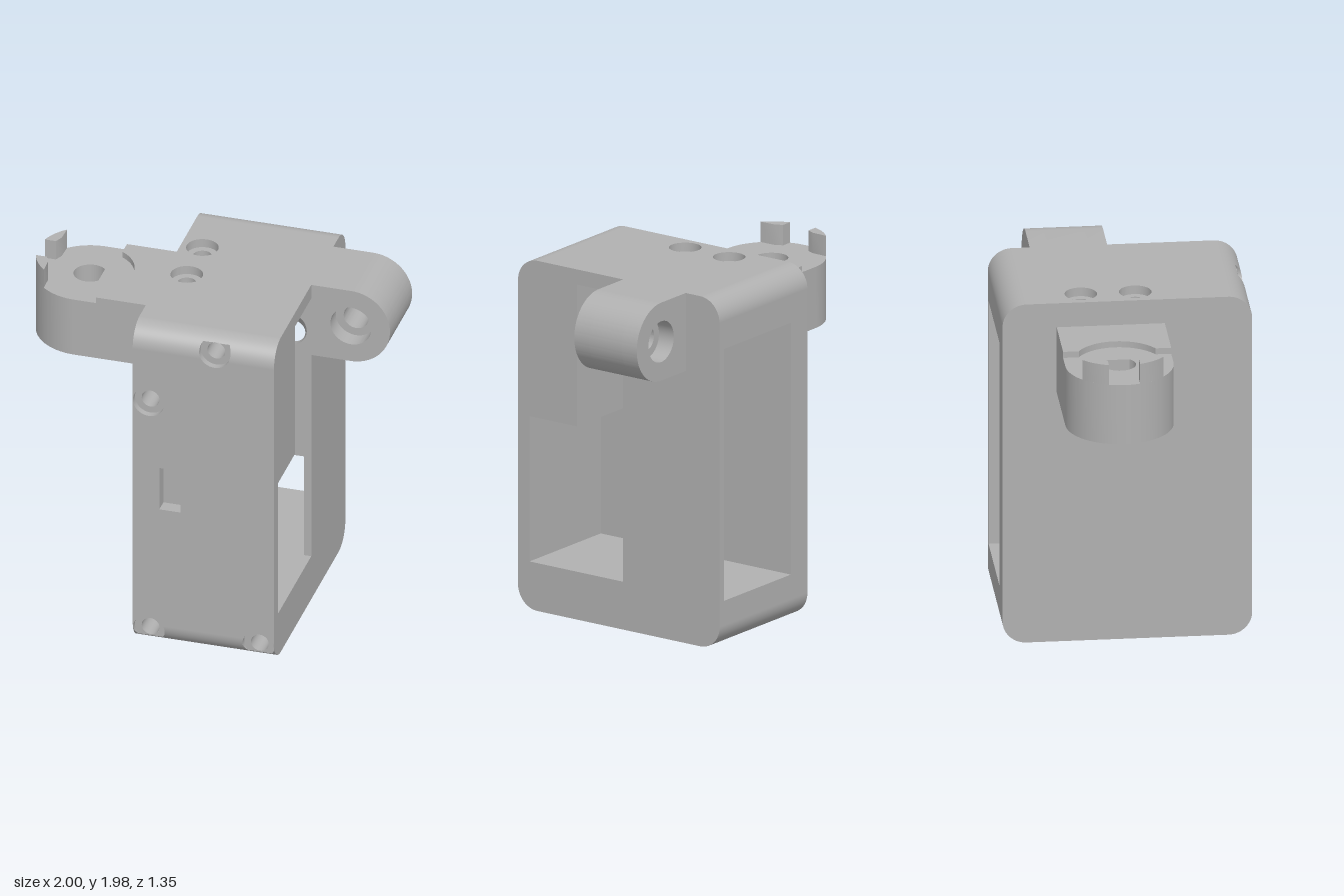
import * as THREE from 'three';
import { toCreasedNormals } from 'three/addons/utils/BufferGeometryUtils.js';

const X0 = -0.24, X1 = 0.555, H = 1.975, Z = 0.677, R = 0.13; // housing extents
const IN0 = -0.09, IN1 = 0.513, FLOOR = 0.27, CEIL = 1.69;    // inner cavity
const SEAT = 0.64;                                            // screw seat depth

export function createModel() {
  const model = new THREE.Group();
  const grey = new THREE.MeshStandardMaterial({ color: 0xb0b0b0, side: THREE.DoubleSide });
  grey.name = 'grey plastic';
  const housing = new THREE.Group(), arm = new THREE.Group(), lug = new THREE.Group();
  housing.name = 'housing'; arm.name = 'sideArm'; lug.name = 'hingeLug';
  model.add(housing, arm, lug);

  const add = (parent, name, geo) => {
    const mesh = new THREE.Mesh(geo, grey);
    mesh.name = name;
    parent.add(mesh);
    return mesh;
  };
  const geometryOf = (pos) => new THREE.BufferGeometry()
    .setAttribute('position', new THREE.Float32BufferAttribute(pos, 3));
  // surface between two matching point lists
  const ribbon = (a, b) => {
    const pos = [];
    for (let i = 0; i < a.length - 1; i++) {
      pos.push(...a[i], ...a[i + 1], ...b[i + 1], ...a[i], ...b[i + 1], ...b[i]);
    }
    const g = geometryOf(pos);
    g.computeVertexNormals();
    return toCreasedNormals(g, 0.5);
  };
  // [z, y] path swept along x
  const sweepX = (path, xa, xb) =>
    ribbon(path.map(([z, y]) => [xa, y, z]), path.map(([z, y]) => [xb, y, z]));
  const polygon = (pts) => new THREE.Shape(pts.map(([x, y]) => new THREE.Vector2(x, y)));
  const circle = (x, y, r) => new THREE.Path().absarc(x, y, r, 0, Math.PI * 2);
  // flat face in the z-y plane
  const sideFace = (shape, x) => new THREE.ShapeGeometry(shape, 24).rotateY(-Math.PI / 2).translate(x, 0, 0);
  const extrude = (shape, depth) => toCreasedNormals(
    new THREE.ExtrudeGeometry(shape, { depth, bevelEnabled: false, curveSegments: 40 }), 0.5);

  // ---- rounded outline of the housing, with normals: front, top, back, bottom
  const frontScrews = [[-0.15, 1.525], [-0.15, 0.095], [0.465, 0.095], [0.22, 1.89]];
  const topScrews = [[-0.12, -0.24], [-0.12, 0.055]];
  const RS = 0.088;
  const outline = [];
  const corner = (cy, cz, start) => {
    for (let i = 0; i <= 24; i++) {
      const t = start + (i / 24) * Math.PI / 2, ny = Math.sin(t), nz = Math.cos(t);
      outline.push({ y: cy + R * ny, z: cz + R * nz, ny, nz });
    }
  };
  const rounds = (list) => list.flatMap((c) =>
    Array.from({ length: 21 }, (_, k) => c[1] + RS * Math.cos(k * Math.PI / 20)));
  const within = (list, a, b) => list.filter((v) => v > a && v < b).sort((p, q) => p - q);
  corner(R, Z - R, -Math.PI / 2);
  within([...rounds(frontScrews), 0.86, 1.12], R, H - R).forEach((y) => outline.push({ y, z: Z, ny: 0, nz: 1 }));
  corner(H - R, Z - R, 0);
  within(rounds(topScrews), R - Z, Z - R).reverse().forEach((z) => outline.push({ y: H, z, ny: 1, nz: 0 }));
  corner(H - R, R - Z, Math.PI / 2);
  [CEIL, FLOOR].forEach((y) => outline.push({ y, z: -Z, ny: 0, nz: -1 }));
  corner(R, R - Z, Math.PI);
  outline.push(outline[0]);

  // ---- outer skin, row by row, leaving out the screw holes, slot and rear opening
  const pos = [], nor = [];
  for (let i = 0; i < outline.length - 1; i++) {
    const a = outline[i], b = outline[i + 1], my = (a.y + b.y) / 2, mz = (a.z + b.z) / 2;
    const gaps = [];
    const round = (cx, ua, ub) => {
      const wa = Math.sqrt(Math.max(0, RS * RS - ua * ua)), wb = Math.sqrt(Math.max(0, RS * RS - ub * ub));
      if (wa + wb > 1e-6) gaps.push([cx - wa, cx + wa, cx - wb, cx + wb]);
    };
    if (mz > SEAT) {
      frontScrews.forEach(([cx, cy]) => round(cx, a.y - cy, b.y - cy));
      if (my > 0.86 && my < 1.12) gaps.push([IN0, 0.03, IN0, 0.03]);
    }
    if (my > H - 0.001) topScrews.forEach(([cx, cz]) => round(cx, a.z - cz, b.z - cz));
    if (mz < -Z + 0.001 && my > FLOOR && my < CEIL) gaps.push([IN0, IN1, IN0, IN1]);
    gaps.sort((p, q) => p[0] - q[0]);
    let la = X0, lb = X0;
    for (const [ra, na, rb, nb] of [...gaps, [X1, X1, X1, X1]]) {
      for (const [x, p] of [[la, a], [ra, a], [rb, b], [la, a], [rb, b], [lb, b]]) {
        pos.push(x, p.y, p.z);
        nor.push(0, p.ny, p.nz);
      }
      la = na; lb = nb;
    }
  }
  const skin = geometryOf(pos);
  skin.setAttribute('normal', new THREE.Float32BufferAttribute(nor, 3));
  add(housing, 'outerShell', skin);

  // ---- side faces; the +x one has the stepped window
  const profile = outline.slice(0, -1).map((p) => [p.z, p.y]);
  add(housing, 'closedSide', sideFace(polygon(profile), X0));
  const openSide = polygon(profile);
  openSide.holes.push(polygon([[-0.03, FLOOR], [0.6, FLOOR], [0.6, 1.09], [0.28, 1.09], [0.28, 1.89], [-0.03, 1.89]]));
  add(housing, 'windowSide', sideFace(openSide, X1));

  // ---- cavity
  add(housing, 'cavityBack', sideFace(polygon([[-Z, FLOOR], [0.6, FLOOR], [0.6, 1.09], [0.28, 1.09],
    [0.28, 0.89], [-0.12, 0.89], [-0.12, CEIL], [-Z, CEIL]]), IN0));
  add(housing, 'thinWallInside', sideFace(polygon([[-Z, FLOOR], [-0.03, FLOOR], [-0.03, 0.89],
    [-0.12, 0.89], [-0.12, CEIL], [-Z, CEIL]]), IN1));
  add(housing, 'frontCavityWalls', sweepX([[0.28, 1.09], [0.6, 1.09], [0.6, FLOOR], [-0.03, FLOOR]], IN0, X1));
  add(housing, 'rearFloor', sweepX([[-0.03, FLOOR], [-Z, FLOOR]], IN0, IN1));
  add(housing, 'rearCeiling', sweepX([[-Z, CEIL], [-0.12, CEIL]], IN0, IN1));
  add(housing, 'partitionEdge', sweepX([[-0.12, 0.89], [-0.03, 0.89]], -0.12, X1));
  add(housing, 'windowEdge', sweepX([[-0.03, FLOOR], [-0.03, 0.89]], IN1, X1));

  // ---- channel beside the partition, with pivot holes in its cheeks
  const cheek = (name, xa, xb, ya, yb, z, r) => {
    const s = polygon([[xa, ya], [xb, ya], [xb, yb], [xa, yb]]);
    s.holes.push(circle(0.43, 1.68 > yb - r ? yb - r - 0.01 : 1.68, r));
    add(housing, name, new THREE.ShapeGeometry(s, 24).translate(0, 0, z));
  };
  const PY = 1.61;
  cheek('partitionFront', -0.12, X1, 0.89, 1.89, -0.03, 0.1);
  cheek('partitionRear', IN0, IN1, 0.89, CEIL, -0.12, 0.065);
  cheek('channelCheek', -0.12, X1, 1.09, 1.89, 0.28, 0.1);
  const ring = (r, y, z) => Array.from({ length: 33 }, (_, k) =>
    [0.43 + r * Math.cos(k * Math.PI / 16), y + r * Math.sin(k * Math.PI / 16), z]);
  add(housing, 'pivotBore', ribbon(ring(0.1, 1.68, -0.03), ring(0.065, PY + 0.005, -0.12)));
  add(housing, 'pivotSocket', ribbon(ring(0.1, 1.68, 0.28), ring(0.1, 1.68, 0.36)));
  add(housing, 'pivotSocketEnd', new THREE.CircleGeometry(0.1, 32).translate(0.43, 1.68, 0.36));
  add(housing, 'channelCeiling', sweepX([[-0.03, 1.89], [0.28, 1.89]], -0.12, X1));
  const back = [[-0.12, 0.89], [-0.12, 1.3], [-0.09, 1.43], [-0.02, 1.54], [0.1, 1.61],
    [0.17, 1.62], [0.12, 1.68], [0.1, 1.76], [0.1, 1.89]];
  add(housing, 'channelBack', ribbon(back.map(([x, y]) => [x, y, -0.03]), back.map(([x, y]) => [x, y, 0.28])));

  // ---- slot through the front wall
  const slot = [[IN0, 0.86], [0.03, 0.86], [0.03, 1.12], [IN0, 1.12], [IN0, 0.86]];
  add(housing, 'frontSlot', ribbon(slot.map(([x, y]) => [x, y, Z]), slot.map(([x, y]) => [x, y, 0.6])));
  add(housing, 'slotStop', new THREE.PlaneGeometry(0.12, 0.03).translate(-0.03, 1.105, 0.6));

  // ---- countersunk screw holes, drawn facing +z
  const screwHole = (cx, cy, surface, seat, lo, hi) => {
    const rim = Array.from({ length: 49 }, (_, k) => {
      const t = k * Math.PI / 24;
      return [cx + RS * Math.cos(t), Math.min(hi, Math.max(lo, cy + RS * Math.sin(t)))];
    });
    const floor = polygon(rim.slice(0, -1));
    floor.holes.push(circle(cx, cy, 0.05));
    return [
      new THREE.ShapeGeometry(floor, 24).translate(0, 0, seat),
      ribbon(rim.map(([x, y]) => [x, y, surface(y)]), rim.map(([x, y]) => [x, y, seat])),
      new THREE.CylinderGeometry(0.05, 0.05, 0.2, 32, 1, true).rotateX(Math.PI / 2).translate(cx, cy, seat - 0.1),
      new THREE.CircleGeometry(0.05, 32).translate(cx, cy, seat - 0.2),
    ];
  };
  const frontZ = (y) => {
    const d = Math.max(0, R - y, y - (H - R));
    return Z - R + Math.sqrt(R * R - d * d);
  };
  const clip = R - Math.sqrt(R * R - (SEAT - Z + R) ** 2);
  frontScrews.forEach(([x, y]) => screwHole(x, y, frontZ, SEAT, clip, H - clip)
    .forEach((g) => add(housing, 'frontScrewHole', g)));
  topScrews.forEach(([x, z]) => screwHole(x, -z, () => H, H - 0.05, -1, 1)
    .forEach((g) => add(housing, 'topScrewHole', g.rotateX(-Math.PI / 2))));

  // ---- side arm: shapes are x-z plans hung from a top height
  const AX = -0.707, AZ = -0.09, AR = 0.293;
  const slab = (name, shape, top, h) => add(arm, name, extrude(shape, h).rotateX(Math.PI / 2).translate(0, top, 0));
  const plan = new THREE.Shape();
  plan.moveTo(X0, AZ - AR).lineTo(X0, AZ + AR).lineTo(AX, AZ + AR);
  plan.absarc(AX, AZ, AR, Math.PI / 2, Math.PI * 1.5, false);
  const flat = Math.acos(0.065 / 0.09);
  plan.holes.push(new THREE.Path().absarc(AX, AZ, 0.09, flat, Math.PI * 2 - flat, false));
  slab('armBody', plan, 1.8, 0.345);
  const step = new THREE.Shape();
  step.moveTo(-0.587, AZ + AR).lineTo(X0, AZ + AR).lineTo(X0, AZ - AR).lineTo(-0.587, AZ - AR);
  step.absarc(AX, AZ, 0.24, -Math.PI / 3, Math.PI / 3, false);
  slab('armRaisedStep', step, 1.835, 0.035);
  for (const s of [-1, 1]) {
    const pts = [[-0.905, AZ + s * 0.13], [-0.925, AZ + s * 0.085]];
    for (let i = 0; i <= 8; i++) {
      const t = 0.294 + (i / 8) * 0.548;
      pts.push([AX - AR * Math.cos(t), AZ + s * AR * Math.sin(t)]);
    }
    slab('armTab', polygon(pts), 1.915, 0.115);
  }

  // ---- hinge lug with a bore widened at both ends
  const LX = 0.778, LY = 1.755, LR = 0.22;
  [[-0.45, 0.1, 0.115], [-0.35, 0.22, 0.07], [-0.13, 0.1, 0.115]].forEach(([z, depth, r]) => {
    const s = new THREE.Shape();
    s.moveTo(X1, LY - LR).lineTo(LX, LY - LR);
    s.absarc(LX, LY, LR, -Math.PI / 2, Math.PI / 2, false);
    s.lineTo(X1, LY + LR);
    s.holes.push(circle(LX, LY, r));
    add(lug, 'lugSection', extrude(s, depth).translate(0, 0, z));
  });
  return model;
}
